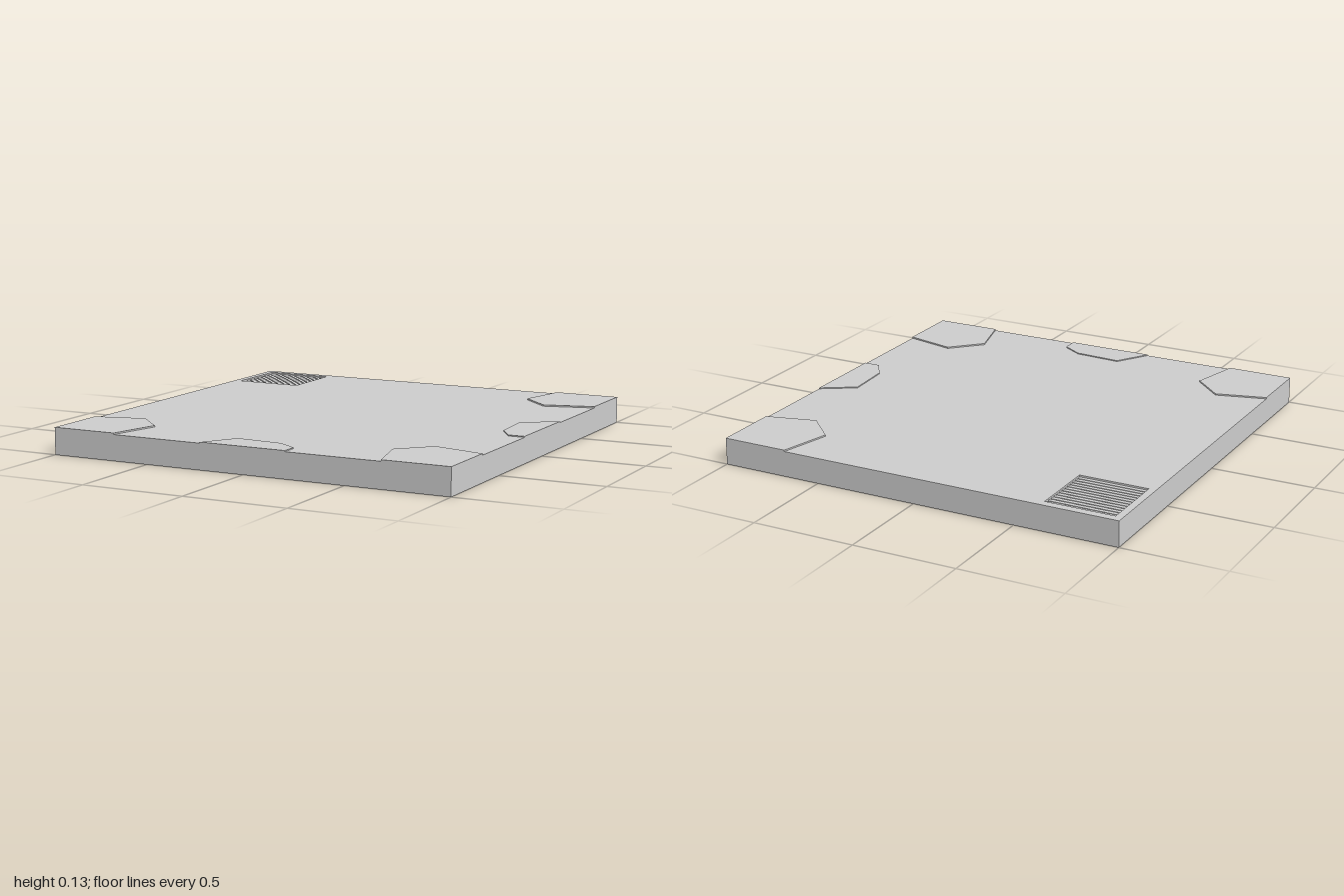
import * as THREE from 'three';

const TOP = 0.122, FLOOR = 0.06;
const grey = new THREE.MeshStandardMaterial({ color: 0xcccccc });

// outline given as [x, z] pairs
const outline = (pts) => new THREE.Shape(pts.map(([x, z]) => new THREE.Vector2(x, -z)));

// upright prism of a plan outline
function prism(shape, y, height, curveSegments = 8) {
  const g = new THREE.ExtrudeGeometry(shape, { depth: height, bevelEnabled: false, curveSegments });
  return g.rotateX(-Math.PI / 2).translate(0, y, 0);
}

export function createModel() {
  const group = new THREE.Group();
  const add = (name, geometry) => {
    const mesh = new THREE.Mesh(geometry, grey);
    mesh.name = name;
    group.add(mesh);
  };

  // floor slab with a square drain pit in the back corner
  const x0 = -0.965, x1 = -0.63, z0 = -0.96, z1 = -0.625;
  const slab = outline([[-1, -1], [-1, 1], [1, 1], [1, -1]]);
  slab.holes.push(outline([[x0, z0], [x1, z0], [x1, z1], [x0, z1]]));
  add('slabTop', prism(slab, FLOOR, TOP - FLOOR));
  add('slabBase', new THREE.BoxGeometry(2, FLOOR, 2).translate(0, FLOOR / 2, 0));

  // thin paving stones in the other three corners
  const corner = [[0.675, 1], [0.61, 0.76], [0.75, 0.617], [1, 0.677], [1, 1]];
  const turns = { frontLeft: ([x, z]) => [x, z], backLeft: ([x, z]) => [z, -x], frontRight: ([x, z]) => [-z, x] };
  for (const [name, turn] of Object.entries(turns)) {
    add(name + 'CornerStone', prism(outline(corner.map(turn)), TOP, 0.007));
  }

  // lower paving stones at the middle of two edges
  const middle = [[0.21, 1], [0.21, 0.92], [0.11, 0.855], [-0.12, 0.84], [-0.22, 1]];
  add('frontEdgeStone', prism(outline(middle), TOP, 0.005));
  add('leftEdgeStone', prism(outline(middle.map(([x, z]) => [z, x])), TOP, 0.005));

  // grate bars with rounded ends
  const count = 13, pitch = (z1 - z0) / count, r = pitch * 0.4;
  for (let i = 0; i < count; i++) {
    const y = -(z0 + (i + 0.5) * pitch);
    const bar = new THREE.Shape();
    bar.absarc(x0 + r, y, r, Math.PI / 2, Math.PI * 1.5);
    bar.absarc(x1 - r, y, r, -Math.PI / 2, Math.PI / 2);
    add('grateBar', prism(bar, 0.1, 0.015, 5));
  }

  // curved support rods under the bars
  for (const [x, z, bend] of [[-0.67, -0.925, 0.13], [-0.795, -0.77, 0.1]]) {
    const y = 0.093, v = (a, b) => new THREE.Vector3(a, y, b);
    const path = new THREE.CurvePath();
    path.add(new THREE.LineCurve3(v(x0, z), v(x - bend, z)));
    path.add(new THREE.QuadraticBezierCurve3(v(x - bend, z), v(x, z), v(x, z + bend)));
    path.add(new THREE.LineCurve3(v(x, z + bend), v(x, z1)));
    add('supportRod', new THREE.TubeGeometry(path, 24, 0.014, 8));
  }

  return group;
}
